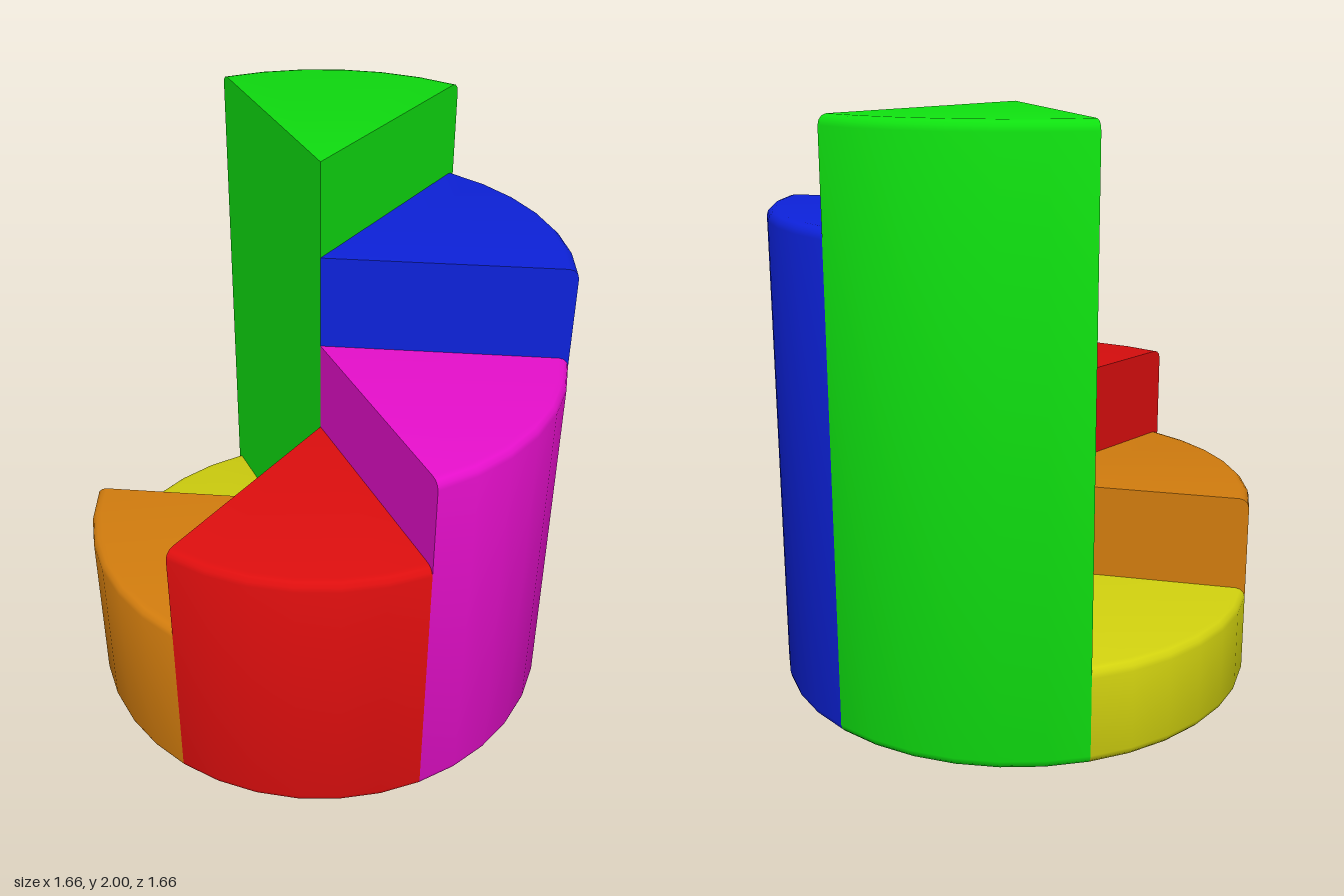
import * as THREE from 'three';
import { mergeGeometries, toCreasedNormals } from 'three/addons/utils/BufferGeometryUtils.js';

const RADIUS = 0.83;
const BEVEL = 0.033;
const STEP = Math.PI / 3;

// Half section of a wedge: from the axis, round the bevelled outer edge, back to the axis
function section(height) {
  const points = [new THREE.Vector2(0, 0)];
  const corner = (y, from) => {
    for (let i = 0; i <= 3; i++) {
      const a = from + (i / 3) * Math.PI / 2;
      points.push(new THREE.Vector2(RADIUS - BEVEL + BEVEL * Math.cos(a), y + BEVEL * Math.sin(a)));
    }
  };
  corner(BEVEL, -Math.PI / 2);
  corner(height - BEVEL, 0);
  points.push(new THREE.Vector2(0, height));
  return points;
}

function wedgeGeometry(height, start) {
  const points = section(height);

  // Curved wall with the top and bottom
  const shell = toCreasedNormals(new THREE.LatheGeometry(points, 6, start, STEP), 0.6);

  // Flat radial walls, each facing away from the wedge
  const startWall = new THREE.ShapeGeometry(new THREE.Shape(points));
  startWall.rotateY(start - Math.PI / 2);
  const mirrored = points.map((p) => new THREE.Vector2(-p.x, p.y));
  const endWall = new THREE.ShapeGeometry(new THREE.Shape(mirrored));
  endWall.rotateY(start + STEP + Math.PI / 2);

  return mergeGeometries([shell, startWall.toNonIndexed(), endWall.toNonIndexed()]);
}

export function createModel() {
  const model = new THREE.Group();
  model.name = 'steppedWedges';

  // Listed anticlockwise seen from above, starting at the front
  const wedges = [
    ['magenta', 0xe60fcb, 4],
    ['blue', 0x0d22dc, 5],
    ['green', 0x0fe010, 6],
    ['yellow', 0xd2d20f, 1],
    ['orange', 0xd37d0e, 2],
    ['red', 0xdc0e0e, 3],
  ];

  wedges.forEach(([name, color, level], i) => {
    const material = new THREE.MeshStandardMaterial({ color });
    material.name = name;
    const mesh = new THREE.Mesh(wedgeGeometry(level / 3, i * STEP), material);
    mesh.name = name + 'Wedge';
    model.add(mesh);
  });

  return model;
}
